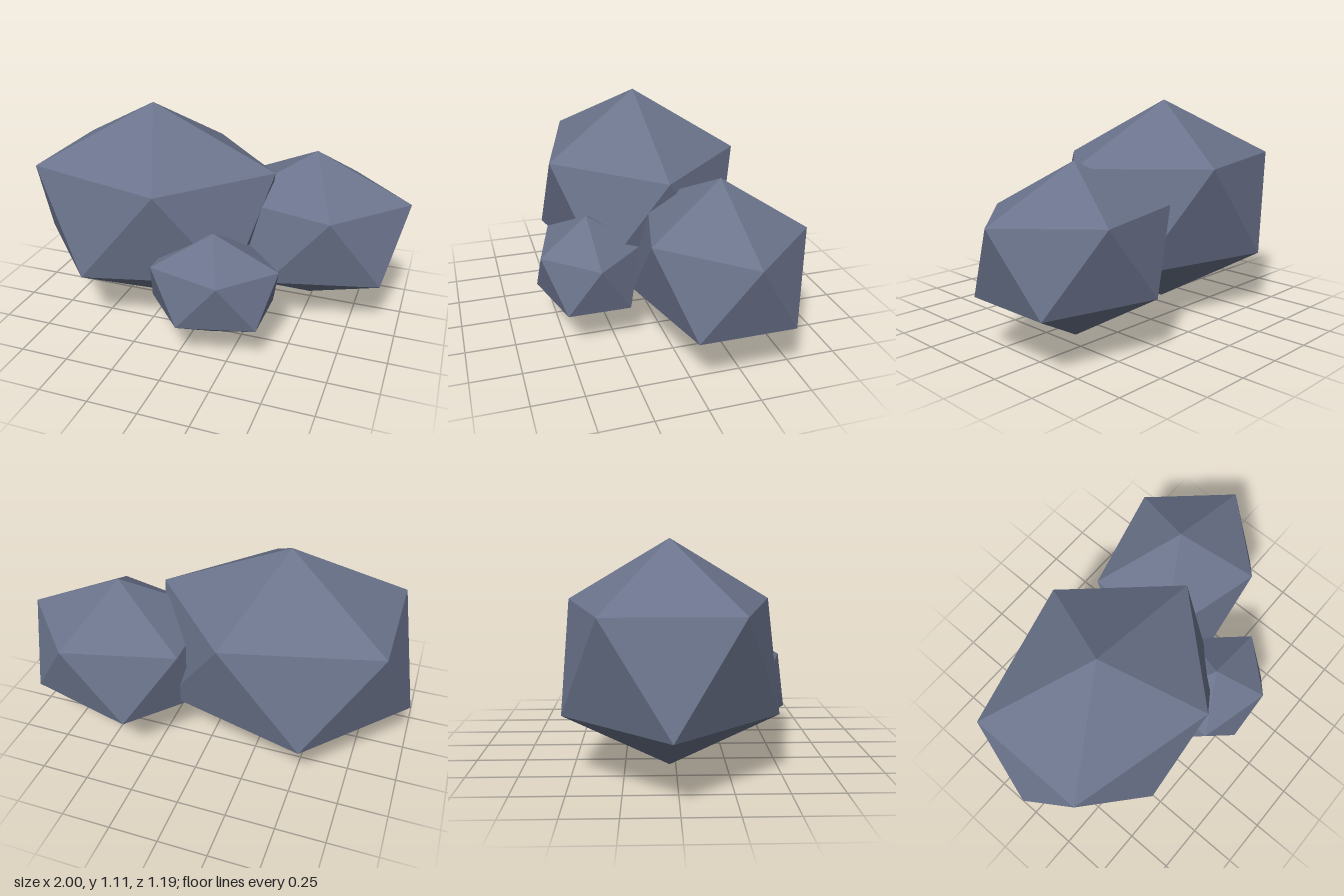
import * as THREE from 'three';

// Cluster of three low-poly boulders: one stretched icosahedron at three sizes.
export function createModel() {
  const group = new THREE.Group();
  group.name = 'rockCluster';
  const material = new THREE.MeshStandardMaterial({ color: 0x6b748c, flatShading: true });

  // Icosahedron stood on a corner, with one upper-ring corner pointing to +x
  const rock = new THREE.IcosahedronGeometry(1, 0);
  rock.rotateZ(-Math.atan(2 / (1 + Math.sqrt(5))));
  rock.scale(0.743, 0.557, 0.594);

  const addRock = (name, size, x, y, z) => {
    const mesh = new THREE.Mesh(rock, material);
    mesh.name = name;
    mesh.scale.setScalar(size);
    mesh.position.set(x, y, z);
    group.add(mesh);
  };

  addRock('largeRock', 1, -0.337, 0.557, -0.03);
  addRock('mediumRock', 0.75, 0.5, 0.467, -0.217);
  addRock('smallRock', 0.5, 0.126, 0.328, 0.343);

  return group;
}
